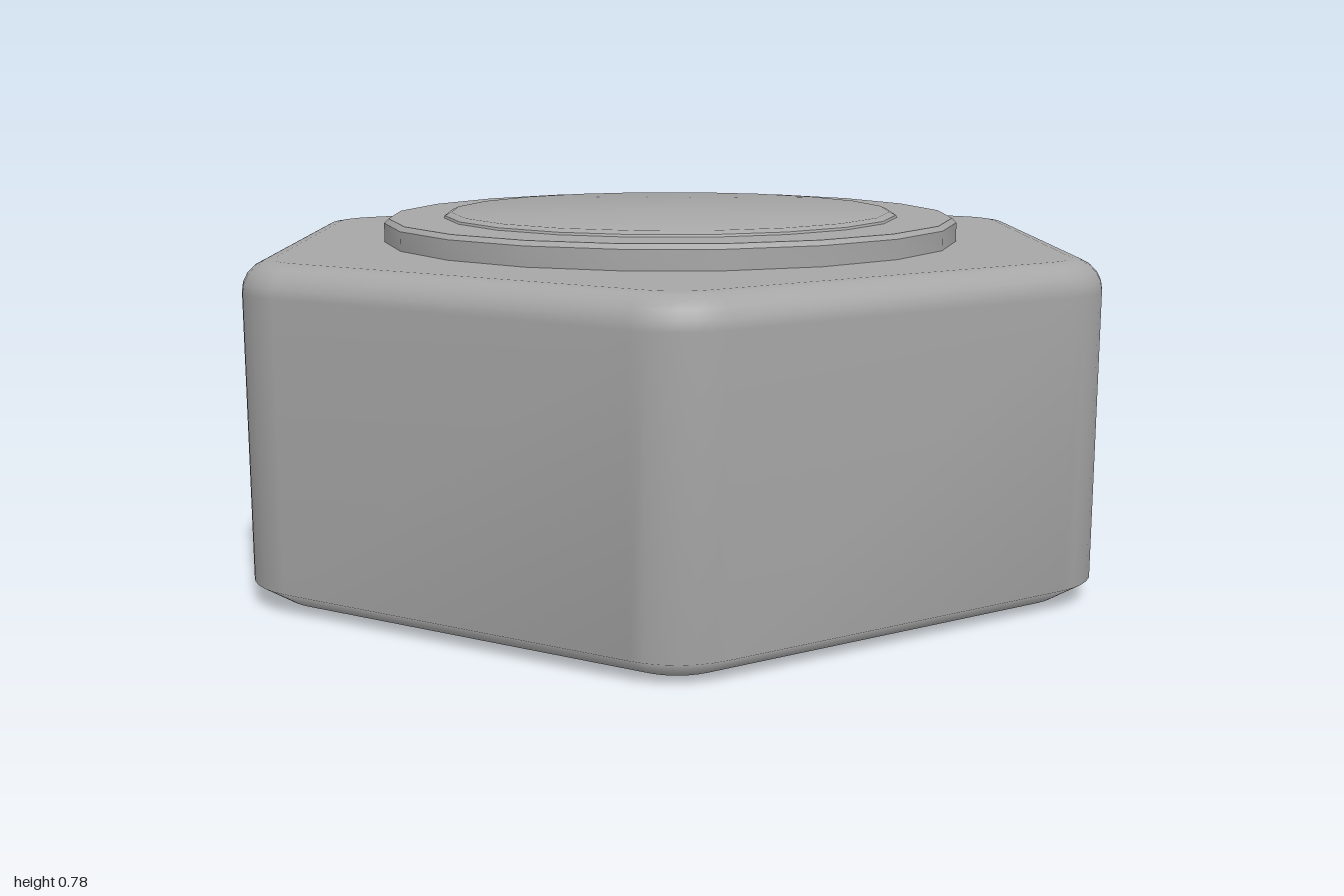
import * as THREE from 'three';
import { toCreasedNormals } from 'three/addons/utils/BufferGeometryUtils.js';

const APOTHEM = 0.89, CORNER = 0.18, STEPS = 6;

// Points of a rounded hexagon, pulled in by an inset, at height y
function hexRing(inset, y) {
  const r = Math.max(CORNER - inset, 0.05);
  const centre = (APOTHEM - inset - r) / Math.cos(Math.PI / 6);
  const points = [];
  for (let c = 0; c < 6; c++) {
    const a = c * Math.PI / 3;
    for (let s = 0; s <= STEPS; s++) {
      const t = a + (s / STEPS - 0.5) * Math.PI / 3;
      points.push(centre * Math.cos(a) + r * Math.cos(t), y, centre * Math.sin(a) + r * Math.sin(t));
    }
  }
  return points;
}

// Skin over a stack of rings, closed at the top
function hexBody(profile) {
  const n = 6 * (STEPS + 1), index = [];
  const position = profile.flatMap(([inset, y]) => hexRing(inset, y));
  for (let k = 0; k < profile.length - 1; k++) {
    for (let i = 0; i < n; i++) {
      const a = k * n + i, b = k * n + (i + 1) % n;
      index.push(a, a + n, b, b, a + n, b + n);
    }
  }
  const last = (profile.length - 1) * n, top = profile.length * n;
  position.push(0, profile[profile.length - 1][1], 0);
  for (let i = 0; i < n; i++) index.push(last + i, top, last + (i + 1) % n);
  const geometry = new THREE.BufferGeometry();
  geometry.setAttribute('position', new THREE.Float32BufferAttribute(position, 3));
  geometry.setIndex(index);
  geometry.computeVertexNormals();
  return geometry;
}

export function createModel() {
  const group = new THREE.Group();
  const steel = new THREE.MeshStandardMaterial({ color: 0xa6a6a6 });
  steel.name = 'steel grey';
  const add = (name, geometry) => {
    const mesh = new THREE.Mesh(geometry, steel);
    mesh.name = name;
    group.add(mesh);
    return mesh;
  };

  // Hexagonal body: chamfered foot, straight sides, rounded top edge
  const profile = [[0.07, 0], [0, 0.045]];
  for (let s = 0; s <= 5; s++) {
    const t = s / 5 * Math.PI / 2;
    profile.push([0.065 * (1 - Math.cos(t)), 0.655 + 0.065 * Math.sin(t)]);
  }
  add('hexBody', hexBody(profile));

  // Flat underside
  const outline = hexRing(0.07, 0), shape = [];
  for (let i = 0; i < outline.length; i += 3) shape.push(new THREE.Vector2(outline[i], outline[i + 2]));
  add('underside', new THREE.ShapeGeometry(new THREE.Shape(shape)).rotateX(Math.PI / 2));

  // Twenty-sided discs stacked on the top
  const disc = (points) => toCreasedNormals(
    new THREE.LatheGeometry(points.map(([x, y]) => new THREE.Vector2(x, y)), 20, 0.047), 0.5);
  add('collar', disc([[0.65, 0.71], [0.65, 0.762], [0.64, 0.772], [0, 0.772]]));
  add('centreDisc', disc([[0.52, 0.765], [0.515, 0.777], [0.5, 0.784], [0, 0.784]]));

  return group;
}
